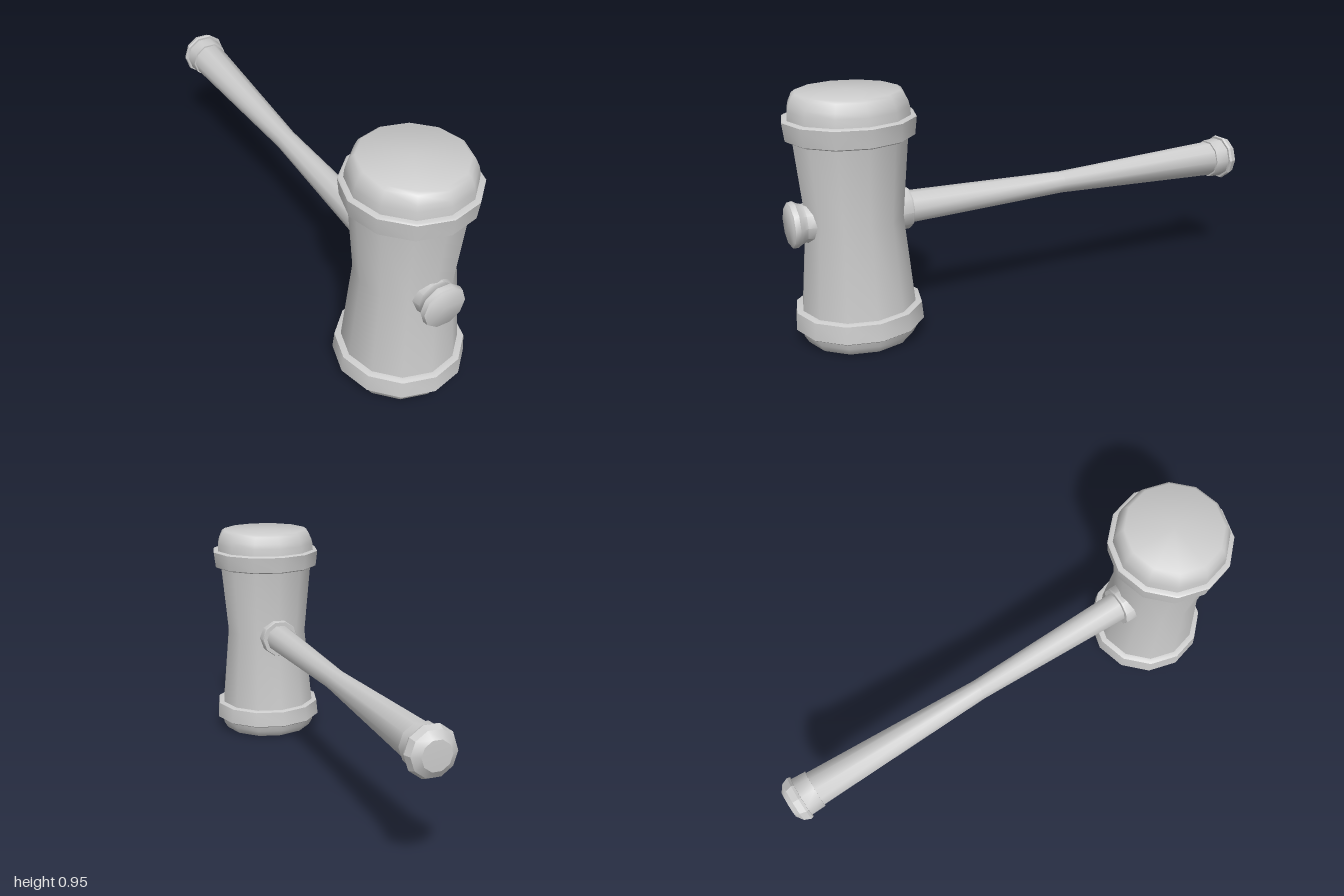
import * as THREE from 'three';
import { toCreasedNormals } from 'three/addons/utils/BufferGeometryUtils.js';

const HEAD_Z = 0.752, AXIS_Y = 0.477;
const material = new THREE.MeshStandardMaterial({ color: 0xcccccc });

// Turned part: profile of [radius, height] from bottom to top
function turned(name, profile, sides, crease = 0.7) {
  const points = profile.map(([r, h]) => new THREE.Vector2(r, h));
  const lathe = new THREE.LatheGeometry(points, sides, Math.PI / 2);
  const mesh = new THREE.Mesh(toCreasedNormals(lathe, crease), material);
  mesh.name = name;
  return mesh;
}

export function createModel() {
  const model = new THREE.Group();
  model.name = 'mallet';

  // Upright head, twelve sided
  const head = new THREE.Group();
  head.name = 'head';
  head.position.z = HEAD_Z;
  head.add(
    turned('headBody', [[0.217, 0.12], [0.183, AXIS_Y], [0.213, 0.8]], 12),
    turned('lowerBand', [[0.2, 0.062], [0.238, 0.062], [0.245, 0.067], [0.239, 0.133], [0.232, 0.137], [0.2, 0.137]], 12),
    turned('upperBand', [[0.2, 0.782], [0.229, 0.782], [0.237, 0.787], [0.245, 0.854], [0.238, 0.859], [0.2, 0.859]], 12),
    turned('lowerFace', [[0, 0.003], [0.19, 0.003], [0.202, 0.008], [0.217, 0.035], [0.225, 0.07]], 12),
    turned('upperFace', [[0.225, 0.85], [0.222, 0.89], [0.217, 0.91], [0.203, 0.94], [0.19, 0.949], [0, 0.949]], 12)
  );
  model.add(head);

  // Ten-sided parts along the handle axis; profile heights run along +z
  const shaft = new THREE.Group();
  shaft.name = 'shaft';
  shaft.position.y = AXIS_Y;
  shaft.rotation.x = Math.PI / 2;
  shaft.add(
    turned('handle', [[0.075, -0.9], [0.044, -0.13], [0.064, 0.6]], 10),
    turned('handleCollar', [[0.06, 0.543], [0.08, 0.543], [0.083, 0.55], [0.083, 0.62]], 10),
    turned('frontKnob', [[0.08, 0.9], [0.071, 0.945], [0.076, 0.96], [0.086, 0.975], [0.083, 0.994], [0.076, 0.999], [0, 0.999]], 10),
    turned('buttCollar', [[0.084, -0.945], [0.081, -0.882], [0.06, -0.882]], 10),
    turned('buttKnob', [[0, -1], [0.056, -0.998], [0.085, -0.978], [0.096, -0.952], [0.093, -0.942], [0.07, -0.942]], 10, 0.5)
  );
  model.add(shaft);

  return model;
}
